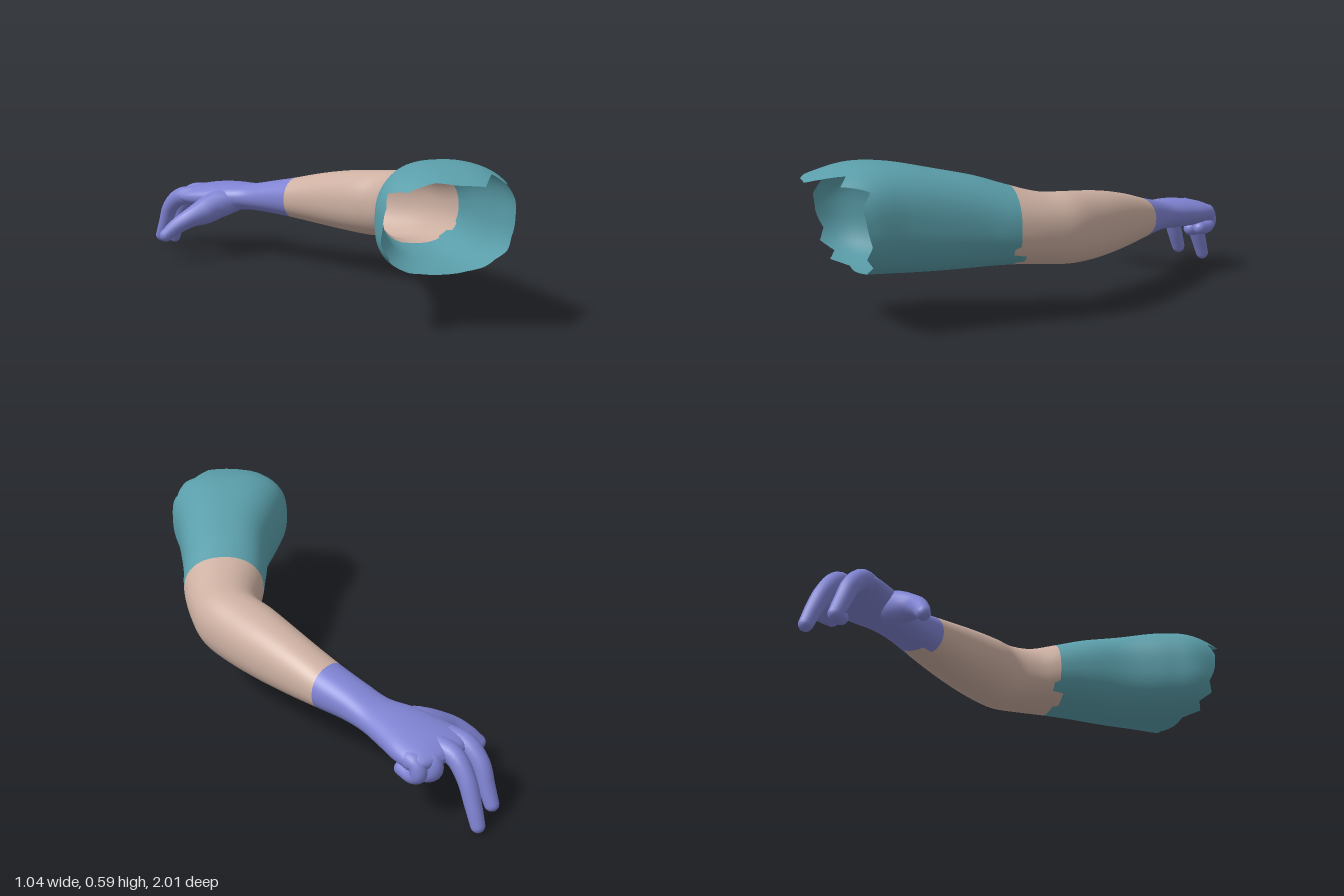
import * as THREE from 'three';

const sleeveMat = new THREE.MeshStandardMaterial({ color: 0x5a9eaa, side: THREE.DoubleSide });
const skinMat = new THREE.MeshStandardMaterial({ color: 0xcdb0a2, side: THREE.DoubleSide });
const gloveMat = new THREE.MeshStandardMaterial({ color: 0x7f83d2, side: THREE.DoubleSide });

// Arm sections from shoulder to knuckles: inner x, z, outer x, z, bottom y, top y
const sections = [
  [-0.58, 0.82, -0.29, 1.11, 0.225, 0.53],
  [-0.48, 0.65, -0.13, 0.99, 0.203, 0.582],
  [-0.37, 0.585, -0.04, 0.87, 0.197, 0.582],
  [-0.2, 0.5, 0.06, 0.75, 0.197, 0.552],
  [-0.08, 0.41, 0.15, 0.65, 0.2, 0.522],
  [0.02, 0.335, 0.235, 0.565, 0.202, 0.485],
  [0.1, 0.285, 0.32, 0.45, 0.195, 0.455],
  [0.155, 0.22, 0.375, 0.35, 0.185, 0.448],
  [0.17, 0.12, 0.405, 0.2, 0.178, 0.437],
  [0.2, 0, 0.422, 0.03, 0.18, 0.42],
  [0.23, -0.14, 0.43, -0.14, 0.188, 0.392],
  [0.25, -0.27, 0.432, -0.27, 0.197, 0.362],
  [0.265, -0.4, 0.432, -0.4, 0.203, 0.335],
  [0.27, -0.5, 0.445, -0.5, 0.203, 0.315],
  [0.245, -0.6, 0.475, -0.6, 0.192, 0.312],
  [0.235, -0.7, 0.505, -0.69, 0.188, 0.304],
  [0.235, -0.79, 0.512, -0.765, 0.195, 0.29],
  [0.25, -0.84, 0.485, -0.805, 0.212, 0.272],
  [0.31, -0.85, 0.41, -0.835, 0.235, 0.25],
];
const last = sections.length - 1;
const low = new THREE.CatmullRomCurve3(sections.map(s => new THREE.Vector3(s[0], s[4], s[1])));
const high = new THREE.CatmullRomCurve3(sections.map(s => new THREE.Vector3(s[2], s[5], s[3])));

// Point on the arm skin: u counts sections, a is the angle (0 outer, 90 degrees top).
// The shoulder end is squarer than the forearm.
function armPoint(u, a) {
  const A = low.getPoint(u / last), B = high.getPoint(u / last);
  const power = THREE.MathUtils.lerp(0.76, 0.92, THREE.MathUtils.smoothstep(u, 1, 6));
  const round = v => Math.sign(v) * Math.abs(v) ** power;
  const c = round(Math.cos(a)) / 2, s = round(Math.sin(a)) / 2;
  return new THREE.Vector3(
    (A.x + B.x) / 2 + (B.x - A.x) * c,
    (A.y + B.y) / 2 + (B.y - A.y) * s,
    (A.z + B.z) / 2 + (B.z - A.z) * c);
}

// Skin a list of closed rings, optionally closing the far end
function skin(rings, capEnd) {
  const n = rings[0].length, pts = rings.flat(), idx = [];
  for (let i = 0; i < rings.length - 1; i++)
    for (let j = 0; j < n; j++) {
      const a = i * n + j, b = i * n + (j + 1) % n;
      idx.push(a, a + n, b, b, a + n, b + n);
    }
  if (capEnd) {
    const end = rings[rings.length - 1], o = (rings.length - 1) * n;
    const mid = end.reduce((m, p) => m.add(p), new THREE.Vector3()).divideScalar(n);
    pts.push(mid);
    for (let j = 0; j < n; j++) idx.push(o + j, pts.length - 1, o + (j + 1) % n);
  }
  const g = new THREE.BufferGeometry().setFromPoints(pts);
  g.setIndex(idx);
  g.computeVertexNormals();
  return g;
}

// Stretch of arm between two borders that may vary around the ring
function armGeometry(from, to, steps, cap = false) {
  const n = 96, rings = [];
  for (let i = 0; i <= steps; i++) {
    const ring = [];
    for (let j = 0; j < n; j++) {
      const a = j / n * Math.PI * 2;
      ring.push(armPoint(from(j / n) + (to(j / n) - from(j / n)) * i / steps, a));
    }
    rings.push(ring);
  }
  return skin(rings, cap);
}

// Tapered tube through points [x, y, z, radius] with a round tip
function fingerGeometry(path) {
  const curve = new THREE.CatmullRomCurve3(path.map(p => new THREE.Vector3(p[0], p[1], p[2])));
  const radii = new THREE.CatmullRomCurve3(path.map(p => new THREE.Vector3(p[3], 0, 0)));
  const rings = [], n = 16, steps = 20;
  const addRing = (c, d, r) => {
    const h = new THREE.Vector3(1, 0, 0).addScaledVector(d, -d.x).normalize();
    const v = new THREE.Vector3().crossVectors(h, d);
    rings.push(Array.from({ length: n }, (_, j) => {
      const a = j / n * Math.PI * 2;
      return c.clone().addScaledVector(h, r * Math.cos(a)).addScaledVector(v, r * Math.sin(a));
    }));
  };
  for (let i = 0; i <= steps; i++)
    addRing(curve.getPoint(i / steps), curve.getTangent(i / steps), radii.getPoint(i / steps).x);
  const tip = curve.getPoint(1), d = curve.getTangent(1), r = path[path.length - 1][3];
  for (let k = 1; k < 6; k++) {
    const a = k / 6 * Math.PI / 2;
    addRing(tip.clone().addScaledVector(d, r * Math.sin(a)), d, r * Math.cos(a));
  }
  return skin(rings, true);
}

// Torn shoulder edge, one value every 15 degrees
const torn = [0.98, 0.9, 1.1, 0.6, 0.75, 0.1, 0.12, 0.3, 0.3, 0.35, 0.75, 0.6,
  0.65, 0.8, 0.7, 0.95, 0.8, 1.15, 1.1, 1.25, 1.15, 1.2, 1.0, 1.1];
const shoulderEdge = f => {
  const k = Math.floor(f * 24 + 1e-6), t = f * 24 - k;
  return torn[k % 24] * (1 - t) + torn[(k + 1) % 24] * t;
};
// Sleeve hem with small steps underneath the elbow
const hem = f => {
  if ((f > 0.57 && f < 0.62) || (f > 0.84 && f < 0.89)) return 5.22;
  if ((f >= 0.62 && f < 0.7) || (f >= 0.89 && f < 0.93)) return 4.82;
  return 5;
};
// Glove cuff, set back on the underside
const wrist = f => f > 0.68 && f < 0.84 ? 11.35 : 10.95;

const fingers = {
  thumb: [[0.32, 0.245, -0.565, 0.05], [0.265, 0.228, -0.615, 0.06], [0.205, 0.202, -0.645, 0.056],
    [0.145, 0.178, -0.675, 0.041], [0.103, 0.143, -0.717, 0.033], [0.074, 0.106, -0.75, 0.027]],
  indexFinger: [[0.285, 0.247, -0.76, 0.042], [0.275, 0.237, -0.835, 0.038], [0.278, 0.185, -0.897, 0.034],
    [0.286, 0.115, -0.93, 0.031], [0.292, 0.052, -0.96, 0.027]],
  middleFinger: [[0.365, 0.252, -0.76, 0.042], [0.366, 0.242, -0.845, 0.037], [0.375, 0.18, -0.905, 0.034],
    [0.387, 0.1, -0.945, 0.031], [0.396, 0.027, -0.976, 0.026]],
  ringFinger: [[0.425, 0.25, -0.74, 0.037], [0.43, 0.238, -0.795, 0.036], [0.432, 0.203, -0.808, 0.034],
    [0.432, 0.175, -0.775, 0.032], [0.425, 0.175, -0.715, 0.028]],
  littleFinger: [[0.475, 0.245, -0.71, 0.032], [0.481, 0.235, -0.77, 0.032], [0.483, 0.2, -0.782, 0.031],
    [0.48, 0.182, -0.755, 0.029], [0.47, 0.182, -0.7, 0.026]],
};

export function createModel() {
  const model = new THREE.Group();
  model.name = 'arm';
  const add = (parent, name, geometry, material) => {
    const mesh = new THREE.Mesh(geometry, material);
    mesh.name = name;
    parent.add(mesh);
  };
  add(model, 'sleeve', armGeometry(shoulderEdge, hem, 28), sleeveMat);
  add(model, 'forearm', armGeometry(hem, wrist, 36), skinMat);

  // Gloved hand: palm with cuff, thumb, two reaching fingers, two curled ones
  const hand = new THREE.Group();
  hand.name = 'glovedHand';
  add(hand, 'palm', armGeometry(wrist, () => last, 42, true), gloveMat);
  for (const [name, path] of Object.entries(fingers)) add(hand, name, fingerGeometry(path), gloveMat);
  model.add(hand);
  return model;
}
